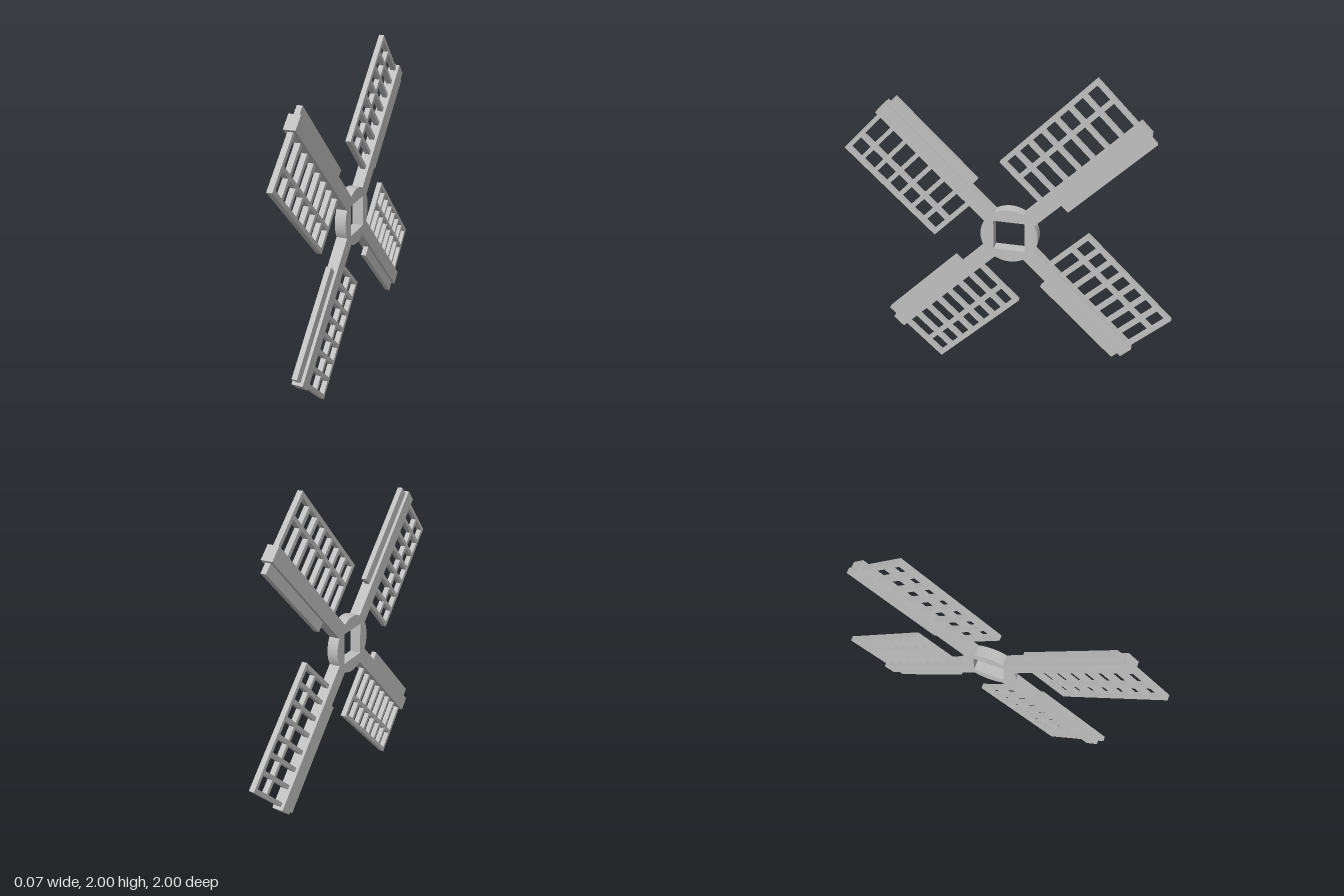
import * as THREE from 'three';
import { toCreasedNormals } from 'three/addons/utils/BufferGeometryUtils.js';

const HUB_RADIUS = 0.175;
const HOLE = 0.095;
const THICK = 0.068; // arms and hub
const THIN = 0.032; // lattice and boards

export function createModel() {
  const grey = new THREE.MeshStandardMaterial({ color: 0xbfbfbf });
  grey.name = 'lightGrey';

  // Everything is laid out in the XY plane, then turned to face the x axis
  const wheel = new THREE.Group();
  wheel.name = 'windmillSails';

  const add = (parent, name, geometry) => {
    const mesh = new THREE.Mesh(geometry, grey);
    mesh.name = name;
    parent.add(mesh);
    return mesh;
  };

  // Box spanning the given ranges along (x) and across (y) the arm
  const slab = (x0, x1, y0, y1, depth) =>
    new THREE.BoxGeometry(x1 - x0, y1 - y0, depth)
      .translate((x0 + x1) / 2, (y0 + y1) / 2, 0);

  const rectPath = (x0, x1, y0, y1) => new THREE.Path([
    new THREE.Vector2(x0, y0), new THREE.Vector2(x0, y1),
    new THREE.Vector2(x1, y1), new THREE.Vector2(x1, y0),
  ]);

  const extrude = (shape, depth, curveSegments = 12) =>
    new THREE.ExtrudeGeometry(shape, { depth, bevelEnabled: false, curveSegments })
      .translate(0, 0, -depth / 2);

  // Round hub with a square axle hole
  const disc = new THREE.Shape().absarc(0, 0, HUB_RADIUS, 0, Math.PI * 2, false);
  disc.holes.push(rectPath(-HOLE, HOLE, -HOLE, HOLE));
  add(wheel, 'hub', toCreasedNormals(extrude(disc, THICK, 48), 0.6));

  // Lattice panel: a plate pierced by rows of openings
  const x0 = 0.292, x1 = 1.04, y0 = 0.03, y1 = 0.374;
  const bar = 0.025, rows = 7;
  const columns = [[0.04, 0.218], [0.243, y1 - bar]];
  const panel = new THREE.Shape([
    new THREE.Vector2(x0, y0), new THREE.Vector2(x1, y0),
    new THREE.Vector2(x1, y1), new THREE.Vector2(x0, y1),
  ]);
  const pitch = (x1 - x0 - bar) / rows;
  for (let i = 0; i < rows; i++) {
    const start = x0 + bar + i * pitch;
    for (const [low, high] of columns) {
      panel.holes.push(rectPath(start, start + pitch - bar, low, high));
    }
  }
  const latticeGeometry = extrude(panel, THIN);
  const armGeometry = slab(0.14, 1.058, -0.045, 0.045, THICK);
  const boardGeometry = slab(0.38, 1.04, -0.107, -0.04, THIN);

  // Four identical sails
  for (let i = 0; i < 4; i++) {
    const sail = new THREE.Group();
    sail.name = `sail${i + 1}`;
    add(sail, 'arm', armGeometry);
    add(sail, 'lattice', latticeGeometry);
    add(sail, 'windBoard', boardGeometry);
    sail.rotation.z = Math.PI / 4 + (i * Math.PI) / 2;
    wheel.add(sail);
  }

  wheel.rotation.y = Math.PI / 2;
  wheel.position.y = 1;

  const model = new THREE.Group();
  model.name = 'windmillRotor';
  model.add(wheel);
  return model;
}
